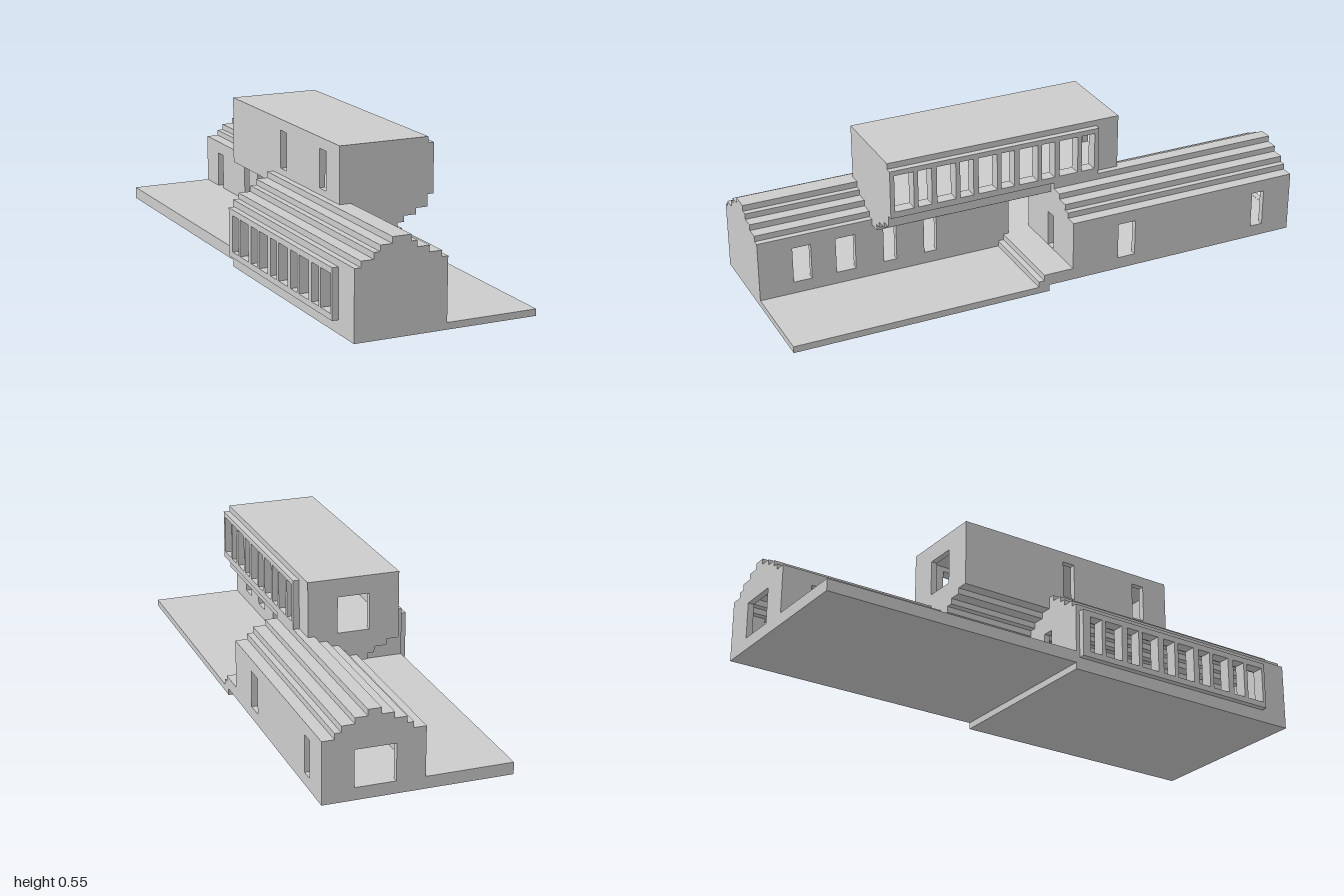
import * as THREE from 'three';

const T = 0.023; // wall thickness
const material = new THREE.MeshStandardMaterial({ color: 0xcccccc, flatShading: true });

const rect = (a0, b0, a1, b1) => [[a0, b0], [a1, b0], [a1, b1], [a0, b1]];
const toPoints = (list) => list.map(([a, b]) => new THREE.Vector2(a, b));

// Extruded outline with openings
function plate(outline, holes, depth) {
  const shape = new THREE.Shape(toPoints(outline));
  holes.forEach((h) => shape.holes.push(new THREE.Path(toPoints(rect(...h)))));
  return new THREE.ExtrudeGeometry(shape, { depth, bevelEnabled: false });
}

function add(group, name, geometry) {
  const mesh = new THREE.Mesh(geometry, material);
  mesh.name = name;
  group.add(mesh);
}

// Outline in x-y, running from z0 to z1
function across(group, name, outline, holes, z0, z1) {
  add(group, name, plate(outline, holes, z1 - z0).translate(0, 0, z0));
}

// Outline in z-y, running from x0 to x1
function along(group, name, outline, holes, x0, x1) {
  add(group, name, plate(outline, holes, x1 - x0).rotateY(-Math.PI / 2).translate(x1, 0, 0));
}

function box(group, name, x0, x1, y0, y1, z0, z1) {
  const g = new THREE.BoxGeometry(x1 - x0, y1 - y0, z1 - z0);
  add(group, name, g.translate((x0 + x1) / 2, (y0 + y1) / 2, (z0 + z1) / 2));
}

// Stepped roof line: nine treads between ten edges
const HEIGHTS = [0.255, 0.277, 0.3, 0.322, 0.345, 0.322, 0.3, 0.277, 0.255];
const roofLine = (edges) => HEIGHTS.flatMap((y, i) => [[edges[i], y], [edges[i + 1], y]]);

// Alternating wide and narrow windows, running towards -z
function windowRow(zStart, pitch, y0, y1) {
  const holes = [];
  for (let i = 0; i < 5; i++) {
    const z = zStart - i * pitch;
    holes.push([z - 0.073, y0, z, y1], [z - 0.142, y0, z - 0.09, y1]);
  }
  return holes;
}

// Hollow wing with stepped roof
function wing(name, edges, y0, z0, z1, openings) {
  const g = new THREE.Group();
  g.name = name;
  const xL = edges[0], xR = edges[9];
  const line = roofLine(edges);
  const gable = [[xL, y0], ...line, [xR, y0]];
  across(g, 'frontGable', gable, openings.front, z1 - T, z1);
  across(g, 'backGable', gable, openings.back, z0, z0 + T);
  const a = z0 + T, b = z1 - T;
  const under = line.map(([x, y]) => [x, y - 0.043]).reverse();
  across(g, 'steppedRoof', [...line, ...under], [], a, b);
  const wall = rect(a, y0, b, 0.212);
  along(g, 'leftmostWall', wall, openings.minusX, xL, xL + T);
  along(g, 'rightmostWall', wall, openings.plusX, xR - T, xR);
  return g;
}

export function createModel() {
  const model = new THREE.Group();
  model.name = 'house';
  const D0 = 0.07, D1 = 0.208; // sill and head of ground floor openings
  const openings = (list) => list.map(([z0, z1]) => [z0, D0, z1, D1]);

  // Terraces and steps
  const ground = new THREE.Group();
  ground.name = 'terraces';
  box(ground, 'lowerTerrace', 0.01, 0.355, 0, 0.025, 0.015, 1);
  box(ground, 'frontWingFloor', -0.335 + T, 0.01 - T, 0, D0, 0.015 + T, 1 - T);
  box(ground, 'upperTerrace', -0.335, 0.355, 0.025, D0, -1, 0.015);
  box(ground, 'upperStep', 0.01, 0.355, 0.025, D0, 0.015, 0.036);
  box(ground, 'lowerStep', 0.01, 0.355, 0.025, 0.047, 0.036, 0.058);
  model.add(ground);

  // Front wing with its projecting window screen
  const row = windowRow(0.872, 0.167, D0, D1);
  const frontWing = wing('frontWing',
    [-0.335, -0.312, -0.265, -0.242, -0.197, -0.128, -0.105, -0.06, -0.013, 0.01],
    0, 0.015, 1, {
      front: [],
      back: [[-0.185, D0, -0.14, D1]],
      minusX: row,
      plusX: openings([[0.8, 0.87], [0.63, 0.705], [0.47, 0.52], [0.31, 0.36]]),
    });
  along(frontWing, 'windowScreen', rect(0.03, 0.048, 0.885, 0.23), row, -0.358, -0.335);
  model.add(frontWing);

  // Back wing, standing on the upper terrace
  model.add(wing('backWing',
    [-0.013, 0.033, 0.056, 0.1, 0.147, 0.195, 0.24, 0.287, 0.31, 0.355],
    D0, -1, -0.08, {
      front: [[0.15, D0 + 0.001, 0.195, D1]],
      back: [[0.092, D0 + 0.001, 0.24, D1]],
      minusX: openings([[-0.885, -0.835], [-0.615, -0.57], [-0.49, -0.425]]),
      plusX: openings([[-0.885, -0.835], [-0.335, -0.265]]),
    }));

  // Upper storey bridging both wings, with a stepped underside
  const upper = new THREE.Group();
  upper.name = 'upperStorey';
  const W = 0.172, Z0 = -0.353, Z1 = 0.562, FLOOR = 0.347, CEIL = 0.53, TOP = 0.552;
  const half = [[0.055, 0.232], [0.055, 0.255], [0.08, 0.255], [0.08, 0.277],
    [0.127, 0.277], [0.127, 0.3], [W, 0.3]];
  const belly = [...half.map(([x, y]) => [-x, y]).reverse(), ...half];
  const face = [...belly, [W, TOP], [-W, TOP]];
  across(upper, 'frontWall', face, [], Z1 - T, Z1);
  across(upper, 'backWall', face, [[-0.06, FLOOR, 0.06, 0.483]], Z0, Z0 + T);
  across(upper, 'steppedFloor', [...belly, [W, FLOOR], [-W, FLOOR]], [], Z0 + T, Z1 - T);
  box(upper, 'flatRoof', -W, W, CEIL, TOP, Z0 + T, Z1 - T);
  const upperRow = windowRow(0.545, 0.162, 0.369, 0.511);
  const side = rect(Z0 + T, FLOOR, Z1 - T, CEIL);
  const sideHoles = upperRow.map(([a, y0, b, y1]) => [a, y0, Math.min(b, Z1 - T - 0.002), y1]);
  along(upper, 'glazedWall', side, sideHoles, W - T, W);
  along(upper, 'plainWall', side, [[0.08, 0.369, 0.13, 0.511], [0.403, 0.369, 0.455, 0.511]], -W, -W + T);
  along(upper, 'windowScreen', rect(-0.262, 0.345, Z1, CEIL), upperRow, W, 0.195);
  model.add(upper);

  return model;
}
